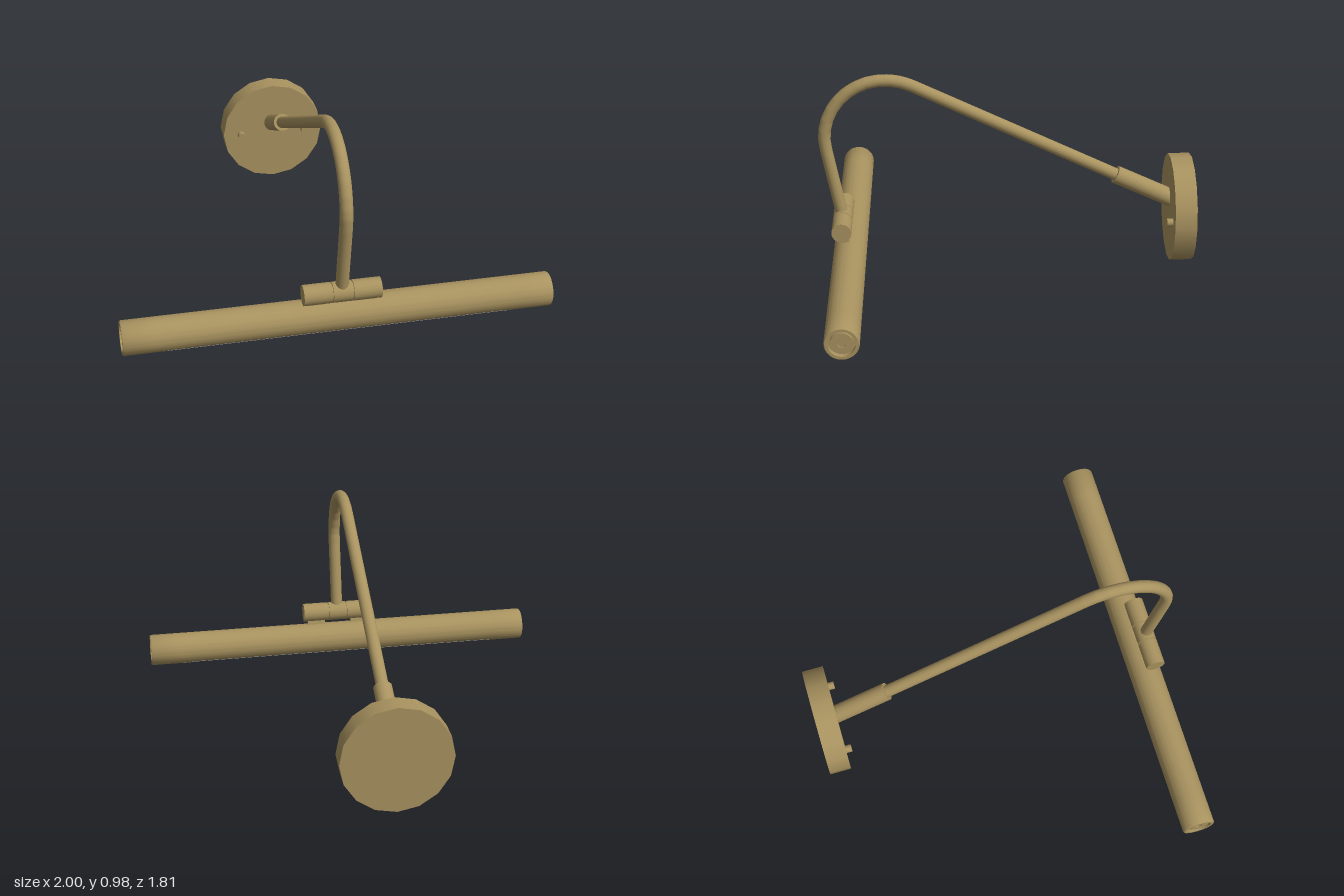
import * as THREE from 'three';
import { toCreasedNormals } from 'three/addons/utils/BufferGeometryUtils.js';

const V = (x, y, z) => new THREE.Vector3(x, y, z);

export function createModel() {
  const group = new THREE.Group();
  const brass = new THREE.MeshStandardMaterial({ color: 0xa8925f });
  const glass = new THREE.MeshStandardMaterial({ color: 0x96969a, side: THREE.DoubleSide });

  const add = (name, geometry, material = brass) => {
    const mesh = new THREE.Mesh(geometry, material);
    mesh.name = name;
    group.add(mesh);
    return mesh;
  };
  // Cylinder between two points
  const rod = (name, a, b, radius, sides = 24) => {
    const mesh = add(name, new THREE.CylinderGeometry(radius, radius, a.distanceTo(b), sides));
    mesh.position.lerpVectors(a, b, 0.5);
    mesh.quaternion.setFromUnitVectors(V(0, 1, 0), b.clone().sub(a).normalize());
    return mesh;
  };

  // Sixteen-sided wall plate with two screws
  const plate = new THREE.CylinderGeometry(0.263, 0.263, 0.105, 16);
  plate.rotateX(Math.PI / 2);
  add('wallPlate', plate).position.set(0, 0.263, -0.852);
  for (const s of [-1, 1]) {
    rod(s > 0 ? 'leftScrew' : 'rightScrew', V(s * 0.17, 0.258, -0.82), V(s * 0.17, 0.258, -0.77), 0.019, 16);
  }

  // Socket holding the arm at the plate
  rod('armSocket', V(0, 0.295, -0.842), V(0, 0.442, -0.533), 0.044);

  // Arm: long straight, bend, short drop
  const arm = new THREE.CurvePath();
  const bend = [];
  for (let i = 0; i <= 12; i++) {
    const a = THREE.MathUtils.degToRad(116 - (128 * i) / 12);
    bend.push(V(0, 0.655 + 0.295 * Math.sin(a), 0.578 + 0.295 * Math.cos(a)));
  }
  const path = [V(0, 0.43, -0.558), ...bend, V(0, 0.245, 0.802)];
  for (let i = 1; i < path.length; i++) arm.add(new THREE.LineCurve3(path[i - 1], path[i]));
  add('arm', new THREE.TubeGeometry(arm, 110, 0.03, 20));

  // Hinge: knuckle between two barrels on a pin, with feet on the lamp tube
  const hinge = (name, x0, x1, r) => rod(name, V(x0, 0.236, 0.8), V(x1, 0.236, 0.8), r);
  hinge('hingePin', -0.17, 0.17, 0.041);
  hinge('hingeKnuckle', -0.045, 0.045, 0.048);
  for (const s of [-1, 1]) {
    const side = s > 0 ? 'left' : 'right';
    hinge(side + 'HingeBarrel', s * 0.05, s * 0.18, 0.048);
    const foot = add(side + 'HingeFoot', new THREE.BoxGeometry(0.09, 0.05, 0.03));
    foot.position.set(s * 0.115, 0.184, 0.782);
    foot.rotation.x = 0.25;
  }

  // Lamp tube: turned body with grooved ends and a window cut along the underside
  const R = 0.08, cy = 0.1, cz = 0.765;
  const cutAt = (x) => 0.02 + 0.02 * THREE.MathUtils.clamp((0.85 - Math.abs(x)) / 0.075, 0, 1);
  const half = [
    [0, 0.985], [0.02, 0.985], [0.02, 0.992], [0.052, 0.992], [0.052, 0.975], [0.062, 0.975],
    [0.062, 1], [0.076, 1], [R, 0.994], [R, 0.85], [R, 0.825], [R, 0.8], [R, 0.775],
  ];
  const profile = [
    ...half.map(([r, x]) => new THREE.Vector2(r, -x)),
    ...half.map(([r, x]) => new THREE.Vector2(r, x)).reverse(),
  ];
  const body = new THREE.LatheGeometry(profile, 64);
  body.rotateZ(-Math.PI / 2);
  body.translate(0, cy, cz);
  const bp = body.attributes.position;
  for (let i = 0; i < bp.count; i++) bp.setY(i, Math.max(bp.getY(i), cutAt(bp.getX(i))));
  add('lampTube', toCreasedNormals(body, 0.6));

  // Slightly bulged diffuser filling the window
  const diffuser = new THREE.PlaneGeometry(1.7, 2, 68, 8);
  const dp = diffuser.attributes.position;
  for (let i = 0; i < dp.count; i++) {
    const x = dp.getX(i), t = dp.getY(i), cut = cutAt(x);
    const width = Math.sqrt(Math.max(0, R * R - (cy - cut) ** 2));
    const bulge = 0.5 * (cut - 0.02) * (1 - t * t);
    dp.setXYZ(i, x, cut - 0.001 - bulge, cz + t * width);
  }
  diffuser.computeVertexNormals();
  // Plane rows run toward -z, so reverse the winding to face down
  const index = diffuser.index.array;
  for (let i = 0; i < index.length; i += 3) [index[i], index[i + 1]] = [index[i + 1], index[i]];
  diffuser.computeVertexNormals();
  // Keep the outward side downward
  if (diffuser.attributes.normal.getY(Math.floor(dp.count / 2)) > 0) {
    for (let i = 0; i < index.length; i += 3) [index[i], index[i + 1]] = [index[i + 1], index[i]];
    diffuser.computeVertexNormals();
  }
  add('diffuser', diffuser, glass);

  return group;
}
